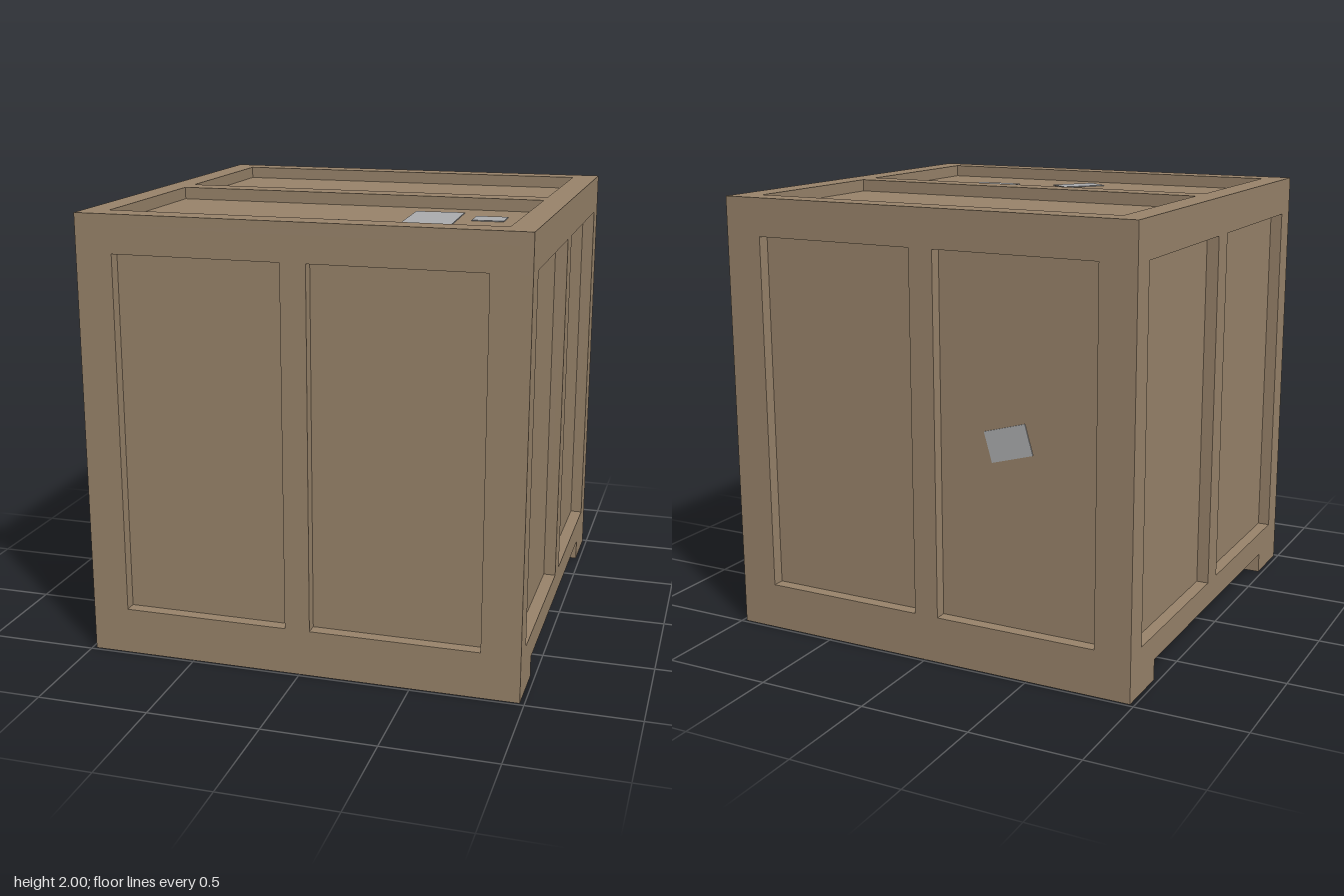
import * as THREE from 'three';

export function createModel() {
  const crate = new THREE.Group();
  crate.name = 'crate';

  const wood = new THREE.MeshStandardMaterial({ color: 0x98836a });
  wood.name = 'wood';
  const paper = new THREE.MeshStandardMaterial({ color: 0xabacae });
  paper.name = 'paper';

  // Box given by its lower and upper corners
  function board(name, x0, x1, y0, y1, z0, z1) {
    const mesh = new THREE.Mesh(new THREE.BoxGeometry(x1 - x0, y1 - y0, z1 - z0), wood);
    mesh.position.set((x0 + x1) / 2, (y0 + y1) / 2, (z0 + z1) / 2);
    mesh.name = name;
    crate.add(mesh);
  }

  const X = 0.98, Z = 0.987;           // outer half sizes
  const PX = 0.925, PZ = 0.932;        // panel half sizes
  const BASE = 0.095, RAIL = 0.21, HEAD = 1.83, LID = 1.945, TOP = 2;

  // Plywood body behind the framing
  board('panels', -PX, PX, 0.105, LID, -PZ, PZ);

  for (const s of [-1, 1]) {
    const end = s < 0 ? 'back' : 'front';
    const side = s < 0 ? 'right' : 'left';
    const [z0, z1] = s < 0 ? [-Z, -PZ] : [PZ, Z];
    const [x0, x1] = s < 0 ? [-X, -PX] : [PX, X];

    // Front and back framing sits between the side framing
    board(end + 'BottomRail', -PX, PX, BASE, RAIL, z0, z1);
    board(end + 'TopRail', -PX, PX, HEAD, LID, z0, z1);
    board(end + 'PostRight', -PX, -0.815, RAIL, HEAD, z0, z1);
    board(end + 'PostMiddle', -0.065, 0.048, RAIL, HEAD, z0, z1);
    board(end + 'PostLeft', 0.807, PX, RAIL, HEAD, z0, z1);

    // Side framing runs the full depth
    board(side + 'BottomRail', x0, x1, BASE, RAIL, -Z, Z);
    board(side + 'TopRail', x0, x1, HEAD, LID, -Z, Z);
    board(side + 'PostBack', x0, x1, RAIL, HEAD, -Z, -0.87);
    board(side + 'PostMiddle', x0, x1, RAIL, HEAD, -0.06, 0.052);
    board(side + 'PostFront', x0, x1, RAIL, HEAD, 0.87, Z);

    // Lid framing
    board(side + 'LidRail', s < 0 ? -X : 0.864, s < 0 ? -0.868 : X, LID, TOP, -Z, Z);
    board(end + 'LidRail', -0.868, 0.864, LID, TOP, s < 0 ? -Z : 0.872, s < 0 ? -0.875 : Z);

    // Skid under the base
    board(end + 'Skid', -X, X, 0, BASE, s < 0 ? -Z : 0.722, s < 0 ? -0.722 : Z);
  }
  board('middleLidRail', -0.868, 0.864, LID, TOP, -0.065, 0.05);
  board('middleBaseRail', -PX, PX, BASE, 0.105, -0.06, 0.052);

  // Paper labels: thin plates on the lid and the back panel
  function label(name, width, length, position, rotation) {
    const mesh = new THREE.Mesh(new THREE.BoxGeometry(width, 0.004, length), paper);
    mesh.position.set(...position);
    mesh.rotation.set(...rotation);
    mesh.name = name;
    crate.add(mesh);
  }
  label('largeLabel', 0.22, 0.4, [0.432, LID + 0.002, 0.378], [0, 0.06, 0]);
  label('smallLabel', 0.14, 0.13, [0.675, LID + 0.002, 0.325], [0, 0.04, 0]);
  label('slantedLabel', 0.224, 0.128, [0.03, LID + 0.002, 0.655], [0, 0.896, 0]);
  label('backLabel', 0.2, 0.137, [-0.39, 1.03, -PZ - 0.002], [-Math.PI / 2, -0.28, 0]);

  // The back label turns within the plane of its panel
  crate.getObjectByName('backLabel').rotation.set(Math.PI / 2, 0, -0.28, 'ZXY');

  return crate;
}
